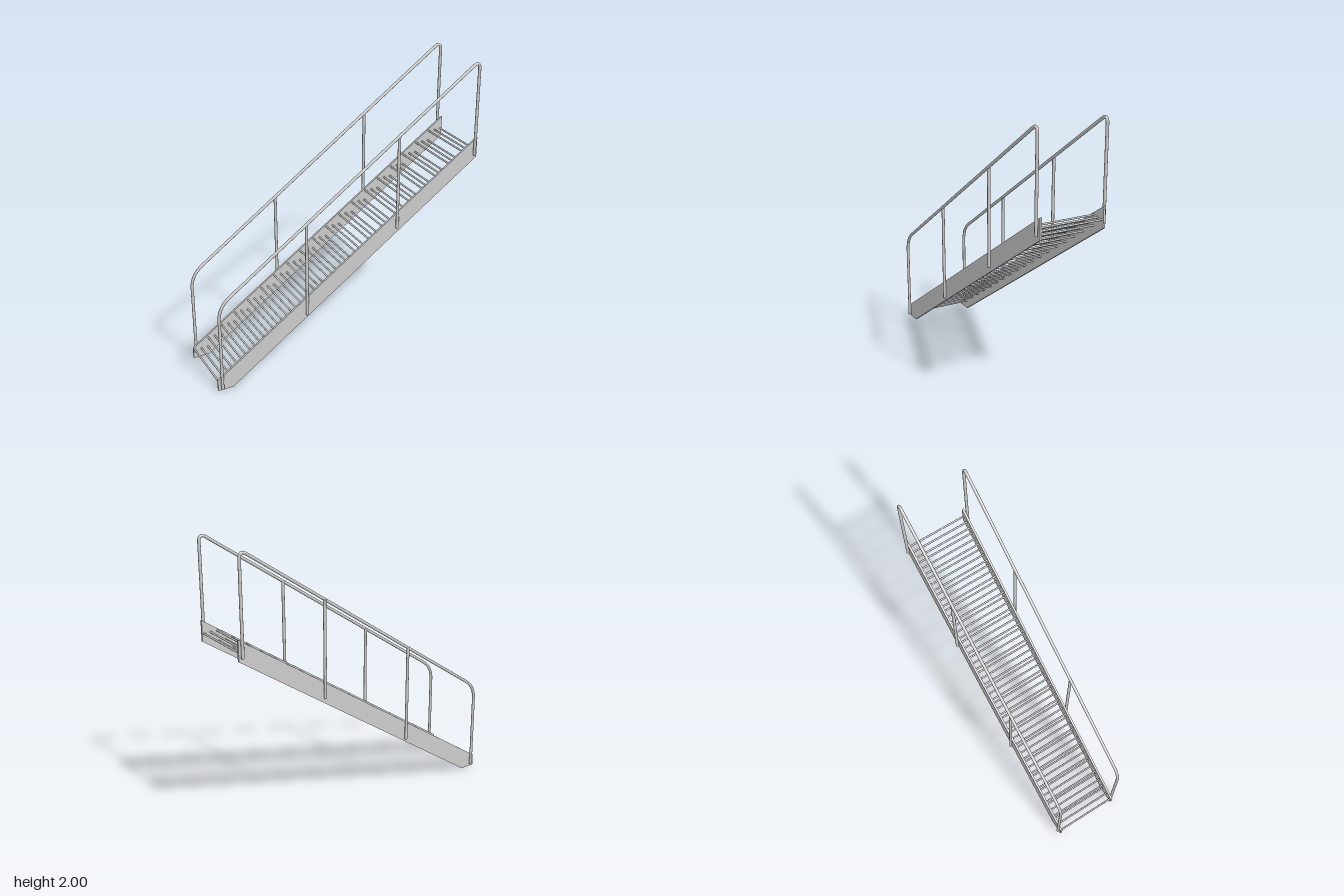
import * as THREE from 'three';

const mat = new THREE.MeshStandardMaterial({ color: 0xcccccc, side: THREE.DoubleSide });

function add(parent, name, geo, x = 0, y = 0, z = 0) {
  const mesh = new THREE.Mesh(geo, mat);
  mesh.name = name;
  mesh.position.set(x, y, z);
  parent.add(mesh);
  return mesh;
}

// Sloped side plate with a flat foot and plumb ends
function stringerGeometry(thickness) {
  const shape = new THREE.Shape([
    [-1, 0], [-0.89, 0], [1, 1.305], [1, 1.45], [-1, 0.08],
  ].map(([x, y]) => new THREE.Vector2(x, y)));
  return new THREE.ExtrudeGeometry(shape, { depth: thickness, bevelEnabled: false })
    .translate(0, 0, -thickness / 2);
}

// Bent handrail: lower post, sloped rail and upper post in one tube
function handrailGeometry(radius) {
  const v = (x, y) => new THREE.Vector3(x, y, 0);
  const path = new THREE.CurvePath();
  const pieces = [
    [new THREE.LineCurve3(v(-0.973, 0.015), v(-0.973, 0.55)), 1],
    [new THREE.QuadraticBezierCurve3(v(-0.973, 0.55), v(-0.973, 0.65), v(-0.89, 0.708)), 12],
    [new THREE.LineCurve3(v(-0.89, 0.708), v(0.925, 1.977)), 1],
    [new THREE.QuadraticBezierCurve3(v(0.925, 1.977), v(0.975, 2.012), v(0.975, 1.95)), 12],
    [new THREE.LineCurve3(v(0.975, 1.95), v(0.975, 1.325)), 1],
  ];
  pieces.forEach(([curve]) => path.add(curve));
  return new THREE.TubeGeometry(path, 300, radius, 12, false);
}

export function createModel() {
  const model = new THREE.Group();
  model.name = 'staircase';

  // Side assemblies: stringer, handrail and two intermediate posts
  const stringer = stringerGeometry(0.014);
  const rail = handrailGeometry(0.0105);
  const cap = new THREE.CircleGeometry(0.0105, 12).rotateX(Math.PI / 2);
  for (const side of [1, -1]) {
    const group = new THREE.Group();
    group.name = side > 0 ? 'frontSide' : 'backSide';
    add(group, 'stringer', stringer, 0, 0, side * 0.222 - 0.003);
    add(group, 'handrail', rail, 0, 0, side * 0.238);
    add(group, 'lowerRailCap', cap, -0.973, 0.015, side * 0.238);
    add(group, 'upperRailCap', cap, 0.975, 1.325, side * 0.238);
    for (const [x, bottom, top] of [[-0.33, 0.41, 1.1], [0.365, 0.905, 1.585]]) {
      const post = new THREE.CylinderGeometry(0.0105, 0.0105, top - bottom, 12);
      add(group, 'railPost', post, x, (top + bottom) / 2, side * 0.238 - 0.004);
    }
    model.add(group);
  }

  // Open treads, each of three round bars
  const bar = new THREE.CylinderGeometry(0.0065, 0.0065, 0.436, 10).rotateX(Math.PI / 2);
  for (let i = 0; i < 19; i++) {
    const tread = new THREE.Group();
    tread.name = 'tread';
    tread.position.set(-0.99 + i * 0.1045, 0.065 + i * 0.0719, -0.003);
    for (let j = 0; j < 3; j++) add(tread, 'treadBar', bar, j * 0.049);
    model.add(tread);
  }
  return model;
}
